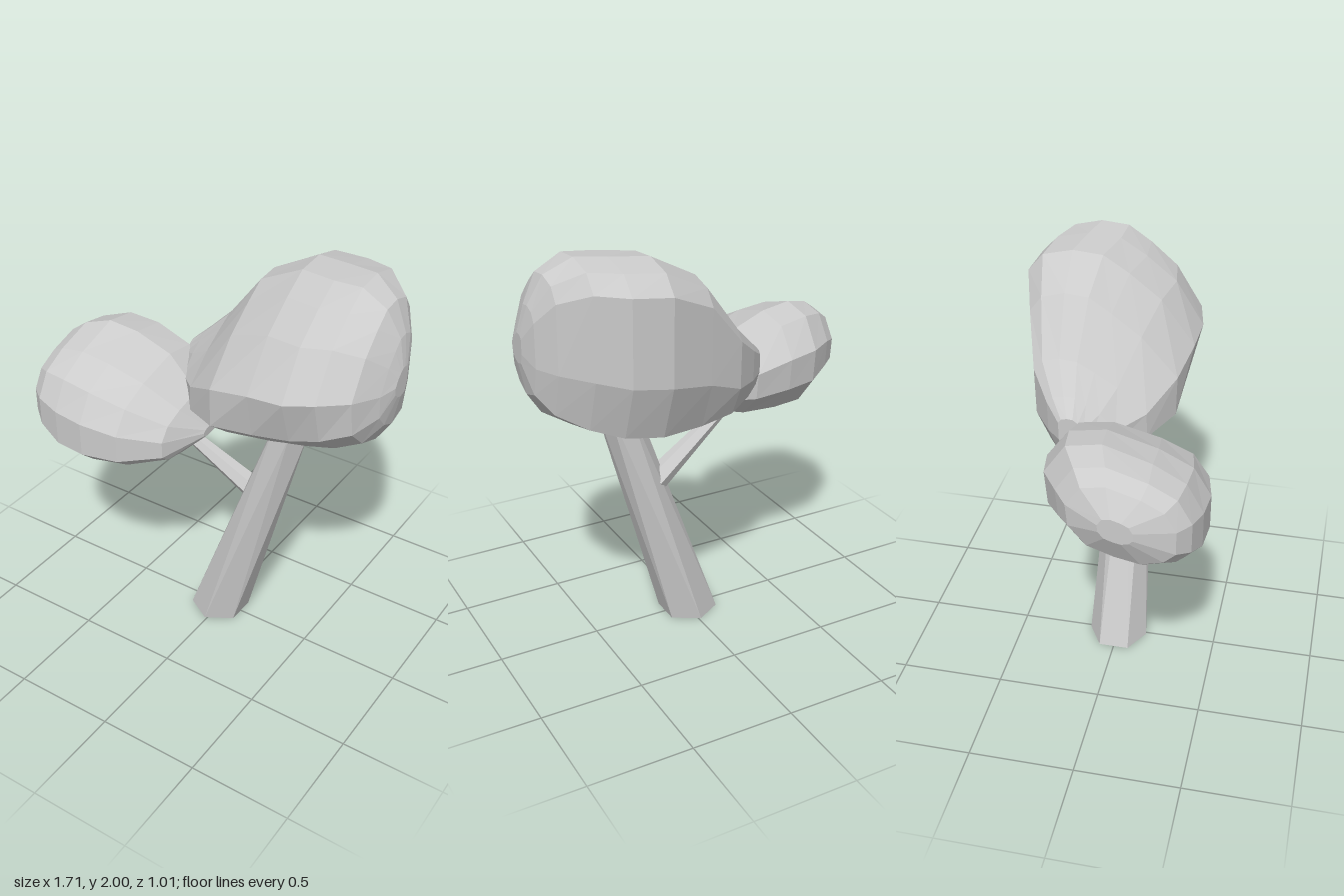
import * as THREE from 'three';

const material = new THREE.MeshStandardMaterial({ color: 0xcccccc, flatShading: true });

// Loft one outline through sections [x, yBottom, yTop, zBack, zFront, lean].
// The outline is a list of [z, y] in 0..1, running from the front over the top;
// lean pushes the low front forward and the high front back.
function foliage(name, outline, sections) {
  const n = outline.length, positions = [], index = [];
  for (const [x, y0, y1, z0, z1, lean = 0] of sections) {
    for (const [z, y] of outline) {
      const leaned = z * (1 - lean * (y - 0.47));
      positions.push(x, y0 + y * (y1 - y0), z0 + leaned * (z1 - z0));
    }
  }
  for (let i = 0; i < sections.length - 1; i++) {
    for (let j = 0; j < n; j++) {
      const k = (j + 1) % n;
      const a = i * n + j, c = i * n + k, b = a + n, d = c + n;
      index.push(a, b, d, a, d, c);
    }
  }
  // Close both ends
  const last = (sections.length - 1) * n;
  for (let j = 1; j < n - 1; j++) {
    index.push(0, j, j + 1, last, last + j + 1, last + j);
  }
  const geometry = new THREE.BufferGeometry();
  geometry.setAttribute('position', new THREE.Float32BufferAttribute(positions, 3));
  geometry.setIndex(index);
  geometry.computeVertexNormals();
  const mesh = new THREE.Mesh(geometry, material);
  mesh.name = name;
  return mesh;
}

// Leaning, twisted six-sided trunk with level ends
function trunk() {
  const height = 1.26, lean = 0.315, twist = 0.55;
  const geometry = new THREE.CylinderGeometry(0.093, 0.147, height, 6);
  geometry.translate(0, height / 2, 0);
  const p = geometry.attributes.position;
  for (let i = 0; i < p.count; i++) {
    const x = p.getX(i), y = p.getY(i), z = p.getZ(i), t = twist * y;
    p.setX(i, x * Math.cos(t) - z * Math.sin(t) - 0.012 + lean * y);
    p.setZ(i, z * Math.cos(t) + x * Math.sin(t));
  }
  geometry.computeVertexNormals();
  const mesh = new THREE.Mesh(geometry, material);
  mesh.name = 'trunk';
  return mesh;
}

// Tapered side branch between two points
function branch(from, to, r0, r1) {
  const direction = to.clone().sub(from);
  const mesh = new THREE.Mesh(new THREE.CylinderGeometry(r1, r0, direction.length(), 6), material);
  mesh.position.copy(from).add(to).multiplyScalar(0.5);
  mesh.quaternion.setFromUnitVectors(new THREE.Vector3(0, 1, 0), direction.normalize());
  mesh.name = 'branch';
  return mesh;
}

export function createModel() {
  const group = new THREE.Group();
  group.name = 'tree';
  group.add(trunk());
  group.add(branch(new THREE.Vector3(0.185, 0.78, -0.035), new THREE.Vector3(-0.24, 1.06, 0.03), 0.06, 0.028));

  // Large crown, leaning back towards the top
  group.add(foliage('largeCrown', [
    [1, 0.49], [0.84, 0.75], [0.66, 0.89], [0.5, 0.985], [0.3, 1], [0.1, 0.96],
    [0, 0.86], [0.01, 0.38], [0.12, 0.07], [0.42, 0], [0.68, 0.08], [0.9, 0.23],
  ], [
    [-0.275, 1.25, 1.43, -0.22, -0.07, 0.2],
    [-0.2, 1.2, 1.5, -0.29, 0.03, 0.35],
    [-0.08, 1.15, 1.62, -0.38, 0.15, 0.45],
    [0.1, 1.12, 1.86, -0.44, 0.26, 0.4],
    [0.32, 1.13, 1.975, -0.505, 0.3, 0.2],
    [0.5, 1.16, 1.99, -0.485, 0.31, 0.05],
    [0.64, 1.21, 2.0, -0.42, 0.28, 0.1],
    [0.76, 1.28, 1.93, -0.31, 0.185, 0.2],
    [0.825, 1.38, 1.8, -0.22, 0.05, 0.3],
    [0.855, 1.53, 1.67, -0.14, -0.03, 0.2],
  ]));

  // Small crown on the side branch
  group.add(foliage('smallCrown', [
    [1, 0.5], [0.89, 0.74], [0.68, 0.88], [0.37, 1], [0.14, 0.95], [0, 0.7],
    [0.02, 0.42], [0.19, 0.17], [0.44, 0.06], [0.68, 0], [0.89, 0.07], [1, 0.2],
  ], [
    [-0.855, 1.22, 1.34, 0.09, 0.24],
    [-0.79, 1.08, 1.45, -0.06, 0.41],
    [-0.72, 1.03, 1.5, -0.12, 0.465],
    [-0.6, 0.96, 1.53, -0.2, 0.495],
    [-0.45, 0.96, 1.51, -0.225, 0.505],
    [-0.27, 0.985, 1.44, -0.22, 0.47],
    [-0.1, 1.04, 1.31, -0.1, 0.35],
    [-0.01, 1.12, 1.17, 0.03, 0.14],
  ]));
  return group;
}
